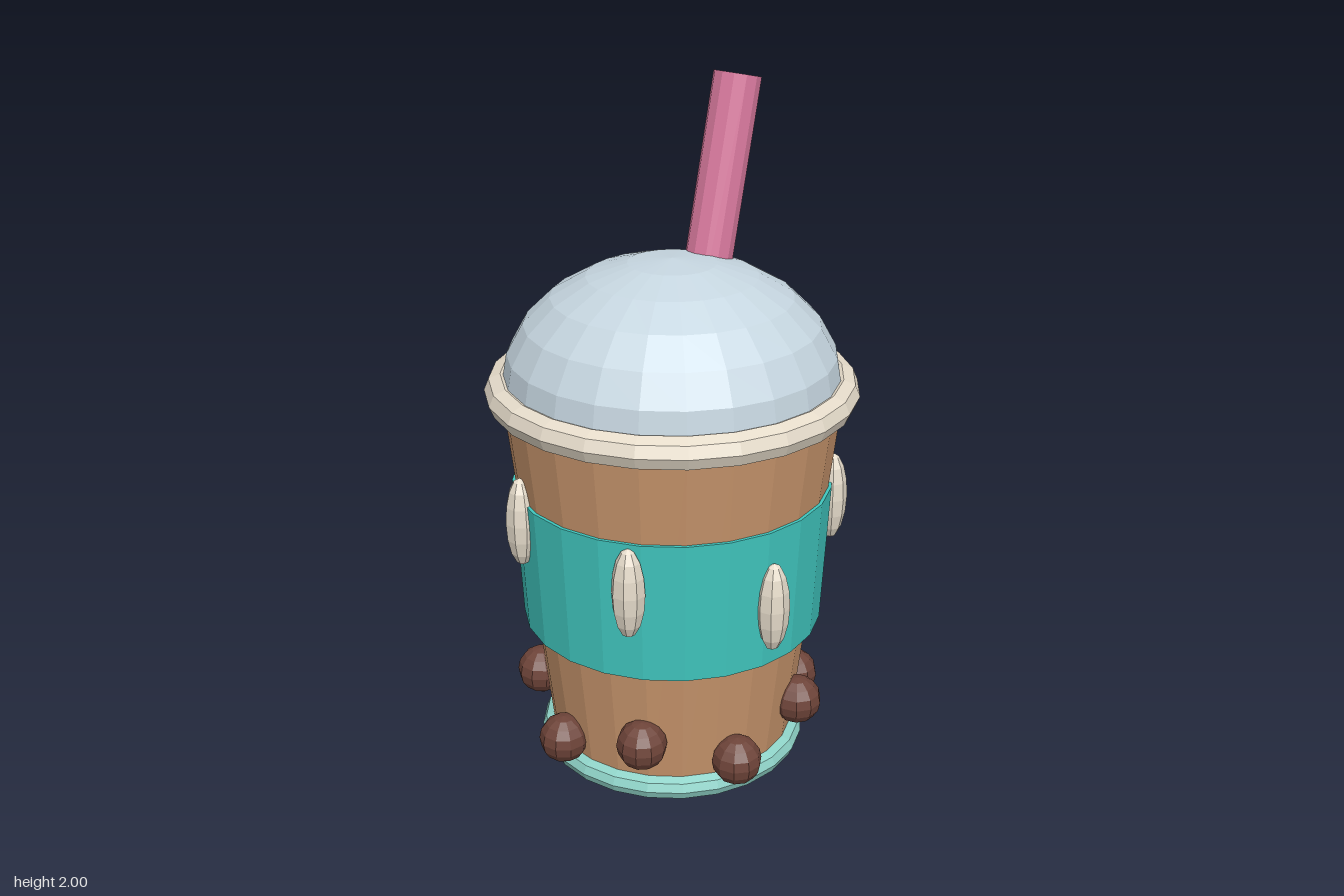
import * as THREE from 'three';

const mat = (name, color) => {
  const m = new THREE.MeshStandardMaterial({ color });
  m.name = name;
  m.flatShading = true;
  return m;
};

export function createModel() {
  const tea = mat('milk tea brown', 0xc8956c);
  const teal = mat('sleeve teal', 0x40c6be);
  const mint = mat('base mint', 0x8fd3c8);
  const cream = mat('cream', 0xe6dccb);
  const glass = mat('lid pale blue', 0xc6d6e0);
  const pink = mat('straw pink', 0xda7a9f);
  const brown = mat('pearl brown', 0x6e4439);

  const model = new THREE.Group();
  model.name = 'bubbleTea';
  const add = (name, geometry, material, x = 0, y = 0, z = 0) => {
    const mesh = new THREE.Mesh(geometry, material);
    mesh.name = name;
    mesh.position.set(x, y, z);
    model.add(mesh);
    return mesh;
  };
  // horizontal ring, faceted around its tube
  const ring = (radius, tube) => new THREE.TorusGeometry(radius, tube, 8, 24).rotateX(Math.PI / 2);

  // tapered cup, base ring and sleeve
  add('cup', new THREE.CylinderGeometry(0.485, 0.358, 1.14, 24), tea, 0, 0.57);
  add('baseRing', ring(0.365, 0.035), mint, 0, 0.035);
  add('sleeve', new THREE.CylinderGeometry(0.464, 0.443, 0.425, 24), teal, 0, 0.6525);

  // lid: rolled rim and squashed dome
  add('lidRim', ring(0.485, 0.047), cream, 0, 1.147);
  const dome = new THREE.SphereGeometry(0.482, 24, 6, 0, Math.PI * 2, 0, Math.PI / 2);
  add('lidDome', dome.scale(1, 0.36 / 0.482, 1), glass, 0, 1.16);

  // straw, leaning to +x; its origin is the top end
  const straw = new THREE.CylinderGeometry(0.068, 0.068, 0.8, 12).translate(0, -0.4, 0);
  add('straw', straw, pink, 0.278, 1.984).rotation.z = -0.234;

  // tapioca pearls, alternating low and high
  const pearl = new THREE.SphereGeometry(0.073, 10, 8);
  for (let i = 0; i < 9; i++) {
    const a = THREE.MathUtils.degToRad(32 + i * 40);
    add('pearl', pearl, brown, 0.402 * Math.cos(a), i % 2 ? 0.2 : 0.125, 0.402 * Math.sin(a)).rotation.y = -a;
  }

  // long oval beads in three steps around the sleeve
  const bead = new THREE.SphereGeometry(1, 8, 8).scale(0.045, 0.135, 0.048);
  for (let i = 1; i <= 7; i++) {
    const a = (i * Math.PI * 2) / 7;
    const y = [0.72, 0.805, 0.635][i % 3];
    add('sleeveBead', bead, cream, 0.465 * Math.cos(a), y, 0.465 * Math.sin(a)).rotation.y = -a;
  }
  return model;
}
